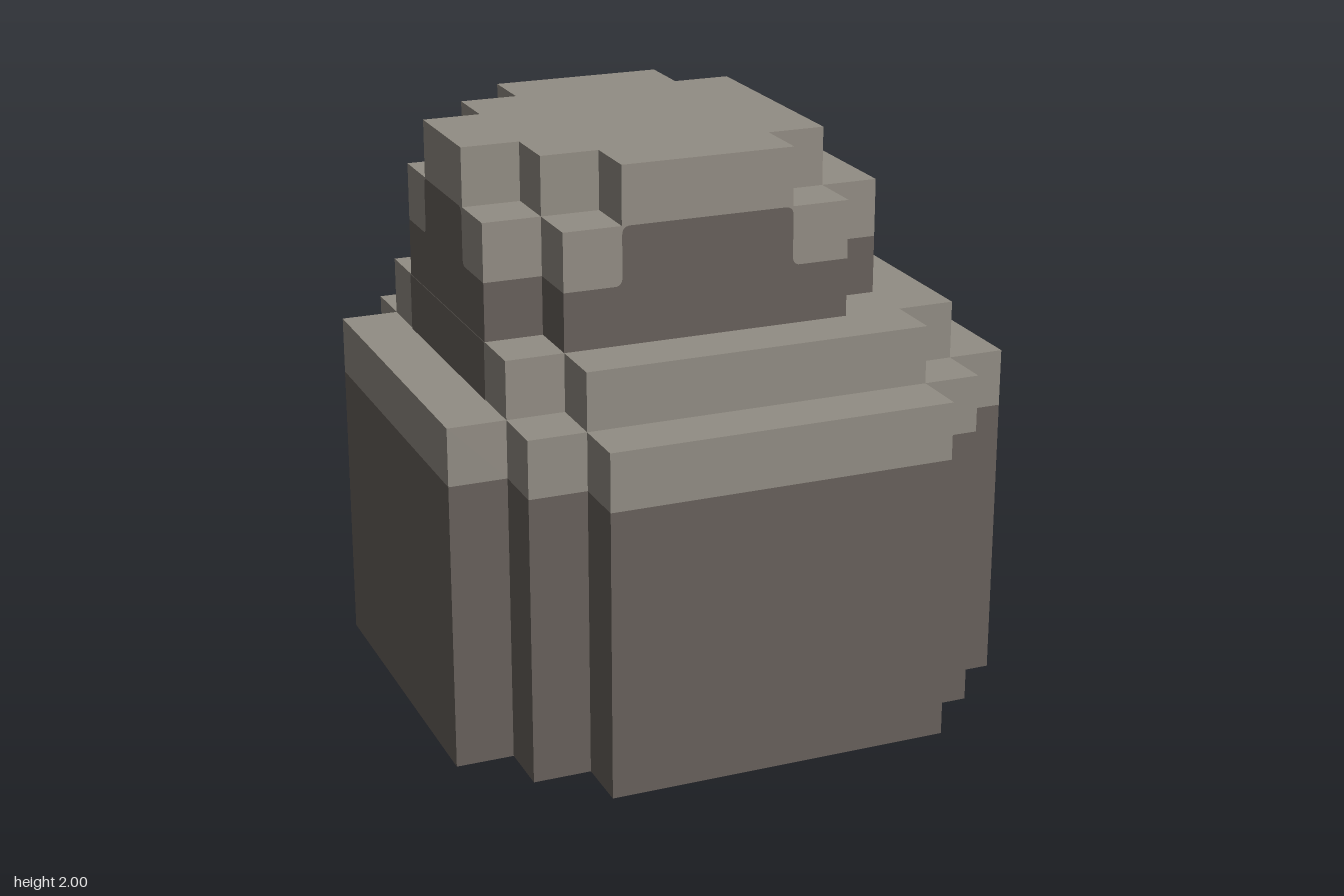
import * as THREE from 'three';

const stone = new THREE.MeshStandardMaterial({ color: 0x67605b });
stone.name = 'dark stone';
const cover = new THREE.MeshStandardMaterial({ color: 0x928d84 });
cover.name = 'pale stone';

// Stepped outlines: corners of the z >= 0 half, mirrored to the other half.
const outlines = {
  base: [[1, 0.6], [0.8, 0.6], [0.8, 0.8], [0.6, 0.8], [0.6, 1],
    [-0.6, 1], [-0.6, 0.8], [-0.8, 0.8], [-0.8, 0.6], [-1, 0.6]],
  ledge: [[0.8, 0.6], [0.6, 0.6], [0.6, 0.8], [-0.6, 0.8], [-0.6, 0.6], [-0.8, 0.6]],
  upper: [[0.6, 0.4], [0.4, 0.4], [0.4, 0.6], [-0.6, 0.6], [-0.6, 0.4], [-0.8, 0.4]],
  cap: [[0.4, 0.4], [0.2, 0.4], [0.2, 0.6], [-0.4, 0.6], [-0.4, 0.4],
    [-0.6, 0.4], [-0.6, 0.2], [-0.8, 0.2]],
};

// Upright slab with a stepped outline between two heights.
function layer(name, half, y0, y1, material) {
  const mirrored = half.map(([x, z]) => [x, -z]).reverse();
  const shape = new THREE.Shape([...half, ...mirrored].map(([x, z]) => new THREE.Vector2(x, z)));
  const geometry = new THREE.ExtrudeGeometry(shape, { depth: y1 - y0, bevelEnabled: false });
  geometry.rotateX(-Math.PI / 2);
  const mesh = new THREE.Mesh(geometry, material);
  mesh.name = name;
  mesh.position.y = y0;
  return mesh;
}

// Flat dark patch with rounded top corners and flared feet.
function patch(name, w, h, r) {
  const s = new THREE.Shape();
  s.moveTo(-w - r, 0);
  s.lineTo(w + r, 0);
  s.quadraticCurveTo(w, 0, w, r);
  s.lineTo(w, h - r);
  s.quadraticCurveTo(w, h, w - r, h);
  s.lineTo(-w + r, h);
  s.quadraticCurveTo(-w, h, -w, h - r);
  s.lineTo(-w, r);
  s.quadraticCurveTo(-w, 0, -w - r, 0);
  const mesh = new THREE.Mesh(new THREE.ShapeGeometry(s, 6), stone);
  mesh.name = name;
  return mesh;
}

export function createModel() {
  const model = new THREE.Group();
  model.name = 'steppedBoulder';

  // Stacked layers, bottom to top
  model.add(
    layer('baseStone', outlines.base, 0, 1, stone),
    layer('baseRim', outlines.base, 1, 1.2, cover),
    layer('ledge', outlines.ledge, 1.2, 1.4, cover),
    layer('upperStone', outlines.upper, 1.4, 1.6, stone),
    layer('upperRim', outlines.upper, 1.6, 1.8, cover),
    layer('cap', outlines.cap, 1.8, 2, cover),
  );

  // Dark patches where the cap is flush with the upper block
  const lift = 0.003;
  const front = patch('frontPatch', 0.3, 0.2, 0.03);
  front.position.set(-0.1, 1.6, 0.6 + lift);
  const back = patch('backPatch', 0.3, 0.2, 0.03);
  back.position.set(-0.1, 1.6, -0.6 - lift);
  back.rotation.y = Math.PI;
  const side = patch('sidePatch', 0.2, 0.2, 0.03);
  side.position.set(-0.8 - lift, 1.6, 0);
  side.rotation.y = -Math.PI / 2;

  // Dark patch where the upper block is flush with the ledge
  const lower = new THREE.Mesh(new THREE.PlaneGeometry(0.8, 0.2), stone);
  lower.name = 'ledgePatch';
  lower.position.set(-0.8 - lift, 1.3, 0);
  lower.rotation.y = -Math.PI / 2;

  model.add(front, back, side, lower);
  return model;
}
